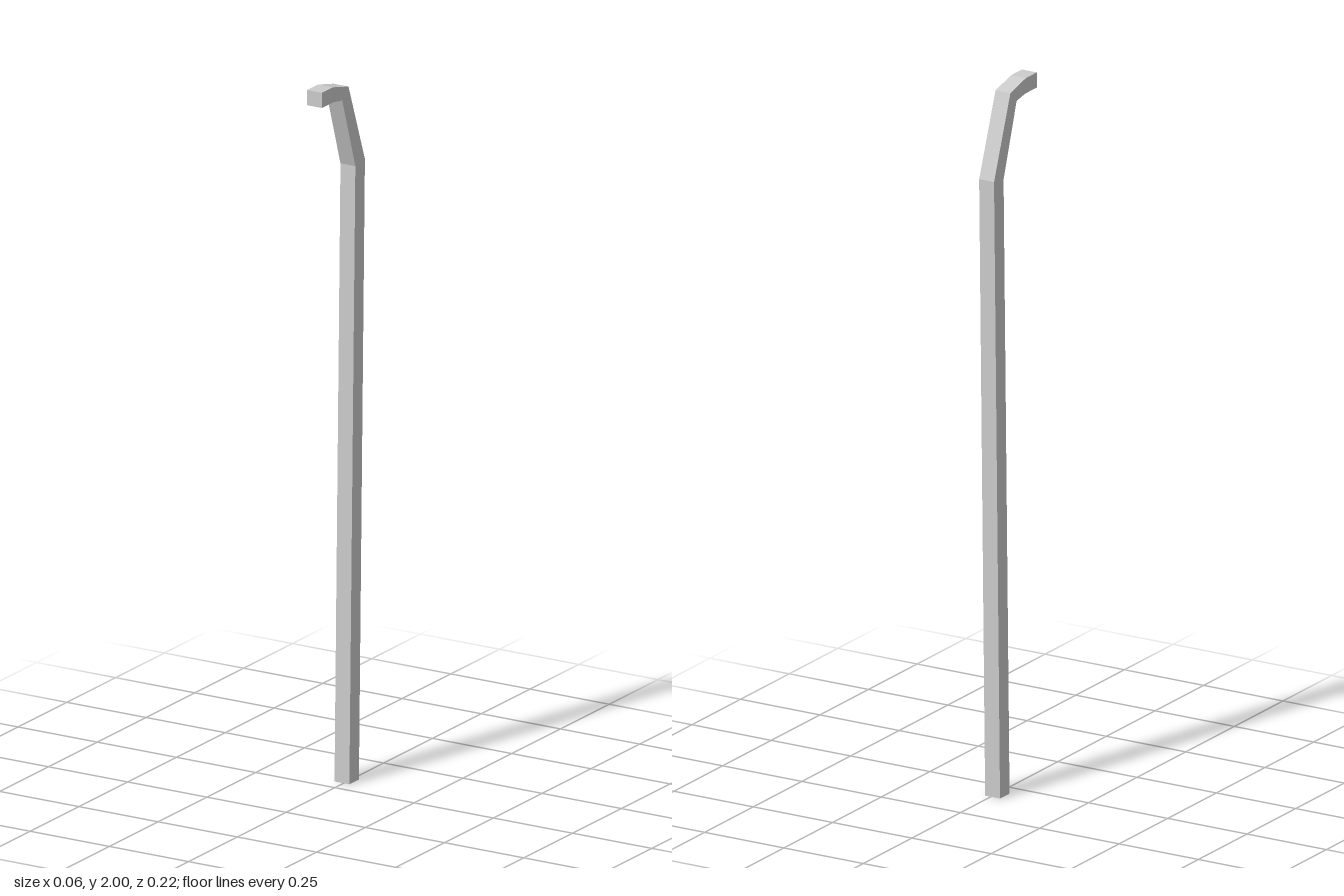
import * as THREE from 'three';

// Square bar swept through mitred sections: [centre x, outer z, outer y, inner z, inner y]
const HALF_WIDTH = 0.0235;
const SECTIONS = [
  [-0.0055, -0.094, 0, -0.045, 0],        // foot
  [0.0035, -0.11, 1.752, -0.061, 1.745],  // lower bend
  [0.0035, -0.026, 1.98, 0.006, 1.949],   // upper bend
  [0.0035, 0.054, 2, 0.05, 1.957],        // hook bend
  [0.0035, 0.11, 2, 0.11, 1.957],         // hook tip
];

function sweptBar(sections) {
  const rings = sections.map(([x, zo, yo, zi, yi]) => [
    [x - HALF_WIDTH, yo, zo],
    [x + HALF_WIDTH, yo, zo],
    [x + HALF_WIDTH, yi, zi],
    [x - HALF_WIDTH, yi, zi],
  ]);
  const positions = [];
  const quad = (a, b, c, d) => positions.push(...a, ...b, ...c, ...a, ...c, ...d);

  // Four sides of each segment
  for (let i = 0; i < rings.length - 1; i++) {
    const lower = rings[i], upper = rings[i + 1];
    for (let j = 0; j < 4; j++) {
      const k = (j + 1) % 4;
      quad(lower[k], lower[j], upper[j], upper[k]);
    }
  }
  // End caps
  const first = rings[0], last = rings[rings.length - 1];
  quad(first[0], first[1], first[2], first[3]);
  quad(last[3], last[2], last[1], last[0]);

  const geometry = new THREE.BufferGeometry();
  geometry.setAttribute('position', new THREE.Float32BufferAttribute(positions, 3));
  geometry.computeVertexNormals();
  return geometry;
}

export function createModel() {
  const group = new THREE.Group();
  group.name = 'hookedPole';
  const material = new THREE.MeshStandardMaterial({ color: 0xcccccc, flatShading: true });
  const bar = new THREE.Mesh(sweptBar(SECTIONS), material);
  bar.name = 'bentBar';
  group.add(bar);
  return group;
}
